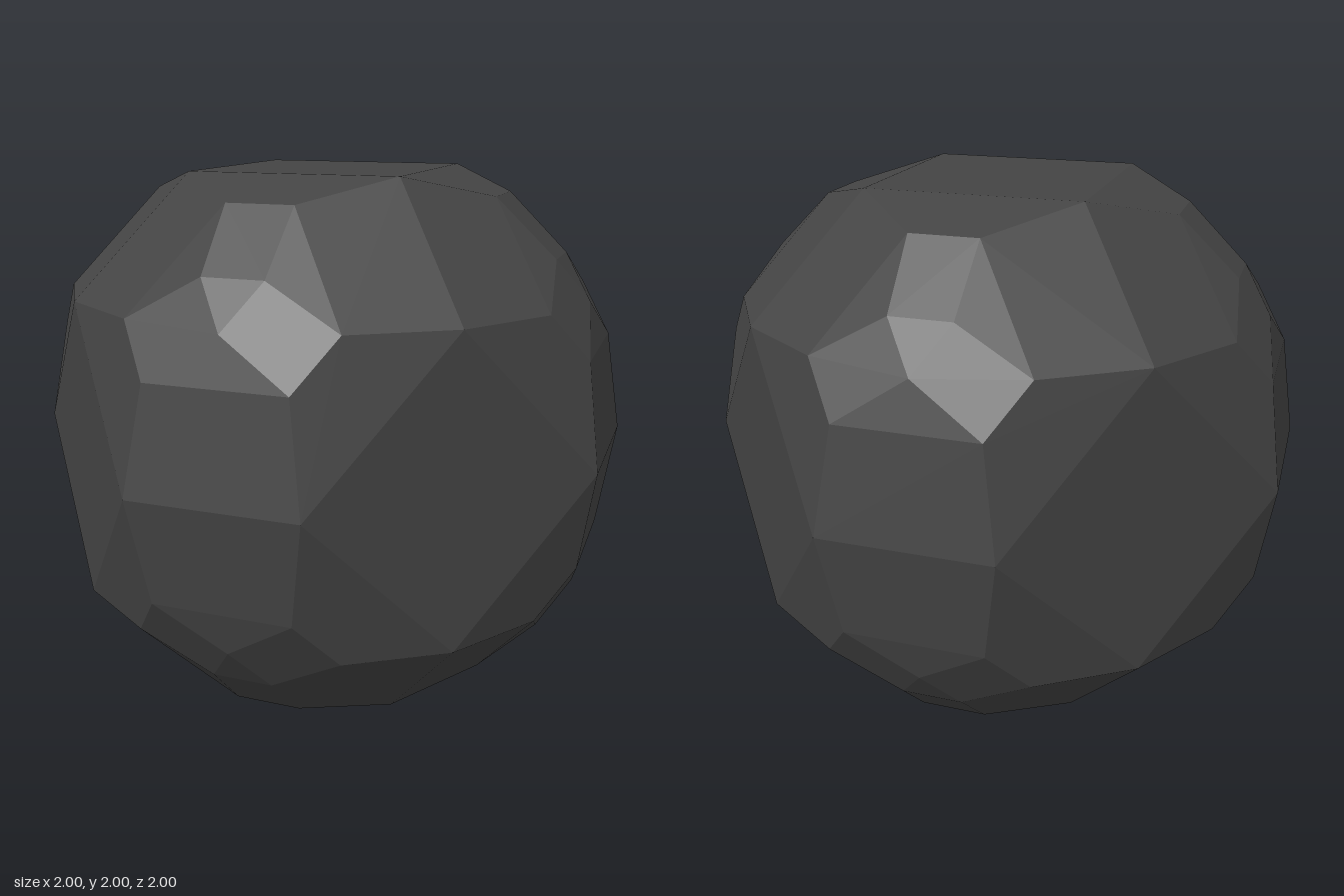
import * as THREE from 'three';
import { ConvexGeometry } from 'three/addons/geometries/ConvexGeometry.js';

// Every mirror image and axis order of one corner point
function spread([a, b, c]) {
  const found = new Map();
  const orders = [[a, b, c], [a, c, b], [b, a, c], [b, c, a], [c, a, b], [c, b, a]];
  for (const [x, y, z] of orders)
    for (const sx of [1, -1])
      for (const sy of [1, -1])
        for (const sz of [1, -1]) {
          const p = new THREE.Vector3(x * sx + 0, y * sy + 0, z * sz + 0);
          found.set(p.toArray().map((v) => (v + 0).toFixed(3).replace('-0.000', '0.000')).join(), p);
        }
  return [...found.values()];
}

export function createModel() {
  const group = new THREE.Group();
  group.name = 'facetedStone';

  const darkGrey = new THREE.MeshStandardMaterial({ color: 0x444444 });
  darkGrey.name = 'darkGrey';

  // Three families of corners: flat diamonds, octagon rims, small corner triangles
  const corners = [
    [0.56, 0, 1],
    [0.385, 0.56, 0.92],
    [0.707, 0.55, 0.707],
  ].flatMap(spread);

  const ball = new THREE.Mesh(new ConvexGeometry(corners), darkGrey);
  ball.name = 'facetedBall';
  ball.position.y = 1;
  group.add(ball);
  return group;
}
